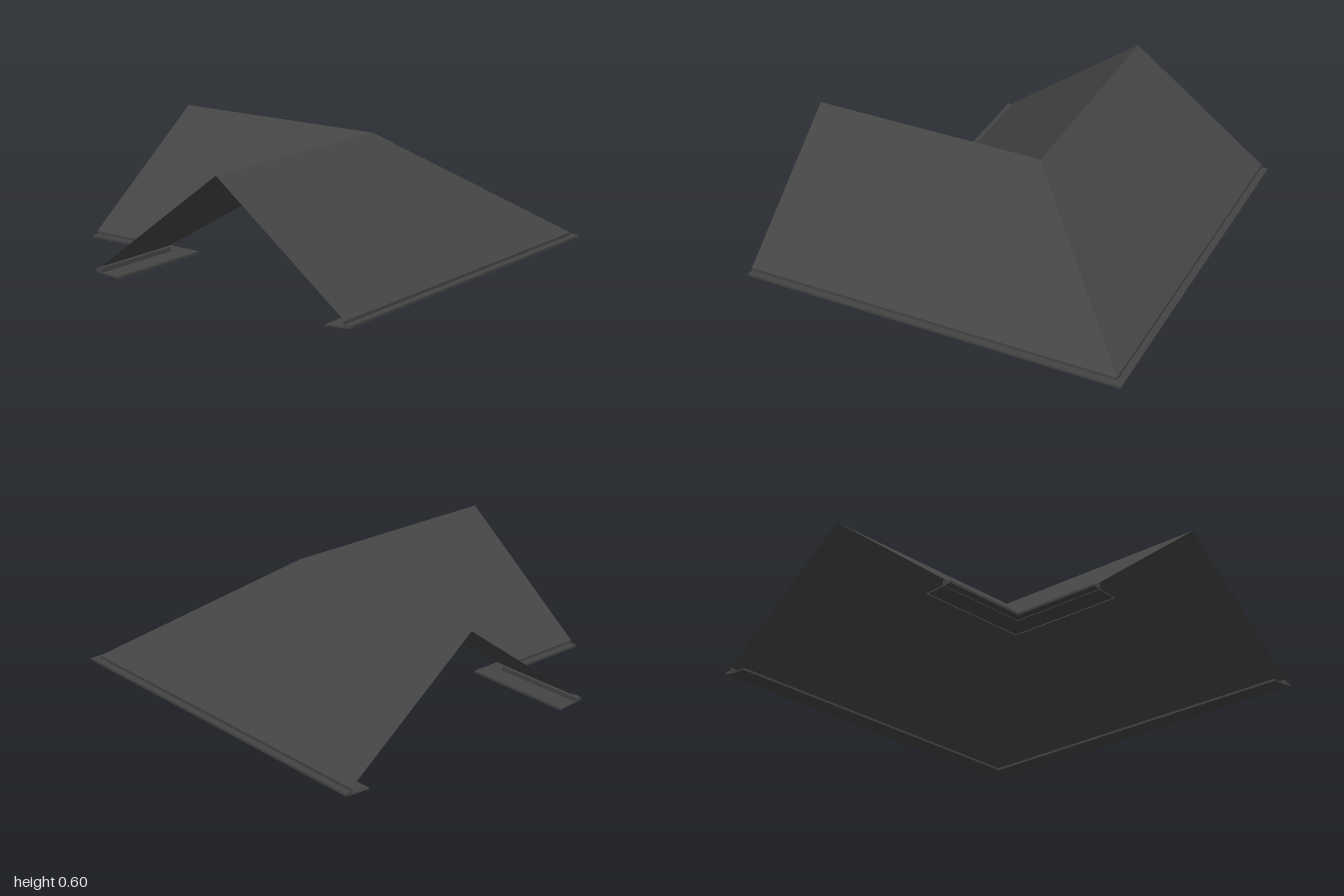
import * as THREE from 'three';

const RIDGE = 0.23; // the ridge turns its corner at (RIDGE, -RIDGE)

// Points of the L-shaped path that lies d outside the ridge (negative = inside).
const pathAt = (d, y) => [
  [-1, y, -RIDGE - d],
  [RIDGE + d, y, -RIDGE - d],
  [RIDGE + d, y, 1],
];

// Sweeps a [d, y] profile along the L with a mitred corner.
function sweepL(profile, closed) {
  const rows = profile.map(([d, y]) => pathAt(d, y));
  const pos = [];
  const tri = (a, b, c) => pos.push(...a, ...b, ...c);
  const count = closed ? rows.length : rows.length - 1;
  for (let i = 0; i < count; i++) {
    const a = rows[i], b = rows[(i + 1) % rows.length];
    for (let k = 0; k < 2; k++) {
      tri(a[k], a[k + 1], b[k + 1]);
      tri(a[k], b[k + 1], b[k]);
    }
  }
  // flat caps on both cut ends of a closed convex profile
  if (closed) {
    for (let i = 1; i < rows.length - 1; i++) {
      tri(rows[0][0], rows[i][0], rows[i + 1][0]);
      tri(rows[0][2], rows[i + 1][2], rows[i][2]);
    }
  }
  const geo = new THREE.BufferGeometry();
  geo.setAttribute('position', new THREE.Float32BufferAttribute(pos, 3));
  geo.computeVertexNormals();
  return geo;
}

export function createModel() {
  const group = new THREE.Group();
  const material = new THREE.MeshStandardMaterial({ color: 0x444444, side: THREE.DoubleSide });
  const add = (parent, name, profile, closed) => {
    const mesh = new THREE.Mesh(sweepL(profile, closed), material);
    mesh.name = name;
    parent.add(mesh);
  };

  // Thin gabled roof: inner slope, ridge, outer slope
  add(group, 'roofSlopes', [[-0.735, 0.045], [0, 0.6], [0.735, 0.045]], false);

  // Eave trim cross-sections, measured outwards from the ridge
  const trim = {
    fascia: [[0.728, 0.01], [0.728, 0.04], [0.735, 0.045], [0.735, 0.01]],
    soffit: [[0.635, 0.006], [0.635, 0.012], [0.735, 0.016], [0.735, 0.01]],
    soffitLip: [[0.628, 0], [0.628, 0.012], [0.635, 0.012], [0.635, 0]],
    gutter: [[0.735, 0.014], [0.735, 0.03], [0.77, 0.03], [0.77, 0.018], [0.762, 0.014]],
  };
  for (const side of [1, -1]) {
    const eave = new THREE.Group();
    eave.name = side > 0 ? 'outerEave' : 'innerEave';
    for (const [name, section] of Object.entries(trim)) {
      const profile = section.map(([d, y]) => [d * side, y]);
      if (side < 0) profile.reverse(); // keep faces outward on the mirrored side
      add(eave, name, profile, true);
    }
    group.add(eave);
  }
  return group;
}
